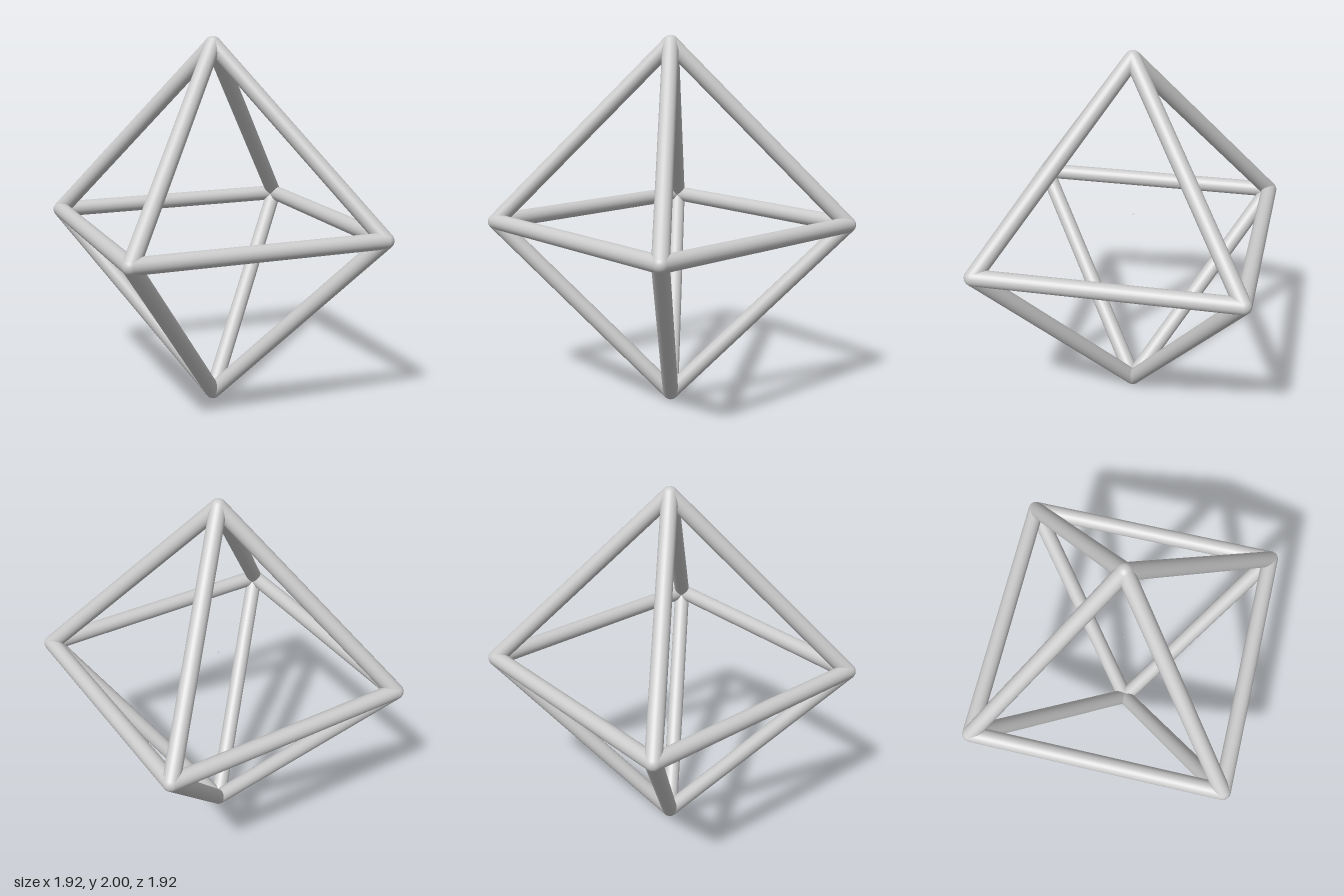
import * as THREE from 'three';

const R = 0.957;          // centre to joint
const BAR = 0.043;        // strut radius
const TURN = THREE.MathUtils.degToRad(15.5);
const UP = new THREE.Vector3(0, 1, 0);

export function createModel() {
  const model = new THREE.Group();
  model.name = 'octahedronFrame';
  const material = new THREE.MeshStandardMaterial({ color: 0xcccccc });

  function add(name, geometry, position) {
    const mesh = new THREE.Mesh(geometry, material);
    mesh.name = name;
    mesh.position.copy(position);
    model.add(mesh);
    return mesh;
  }

  // Round bar between two joints
  function strut(name, a, b) {
    const along = b.clone().sub(a);
    const geometry = new THREE.CylinderGeometry(BAR, BAR, along.length(), 24, 1, true);
    const mesh = add(name, geometry, a.clone().lerp(b, 0.5));
    mesh.quaternion.setFromUnitVectors(UP, along.normalize());
  }

  // Two poles and a ring of four joints, turned about the upright axis
  const top = new THREE.Vector3(0, 1 + R, 0);
  const bottom = new THREE.Vector3(0, 1 - R, 0);
  const ring = [0, 1, 2, 3].map((i) => {
    const a = TURN + i * Math.PI / 2;
    return new THREE.Vector3(Math.cos(a) * 0.95, 1, -Math.sin(a) * 0.95);
  });

  // Rounded joints
  const ball = new THREE.SphereGeometry(BAR, 24, 16);
  [top, bottom, ...ring].forEach((p) => add('joint', ball, p));

  // Upper, lower and middle struts
  ring.forEach((p, i) => {
    strut('upperStrut', p, top);
    strut('lowerStrut', p, bottom);
    strut('middleStrut', p, ring[(i + 1) % 4]);
  });

  // Tiny bead floating inside the frame
  add('centreBead', new THREE.SphereGeometry(0.003, 8, 6), new THREE.Vector3(0, 1.095, 0));

  return model;
}
